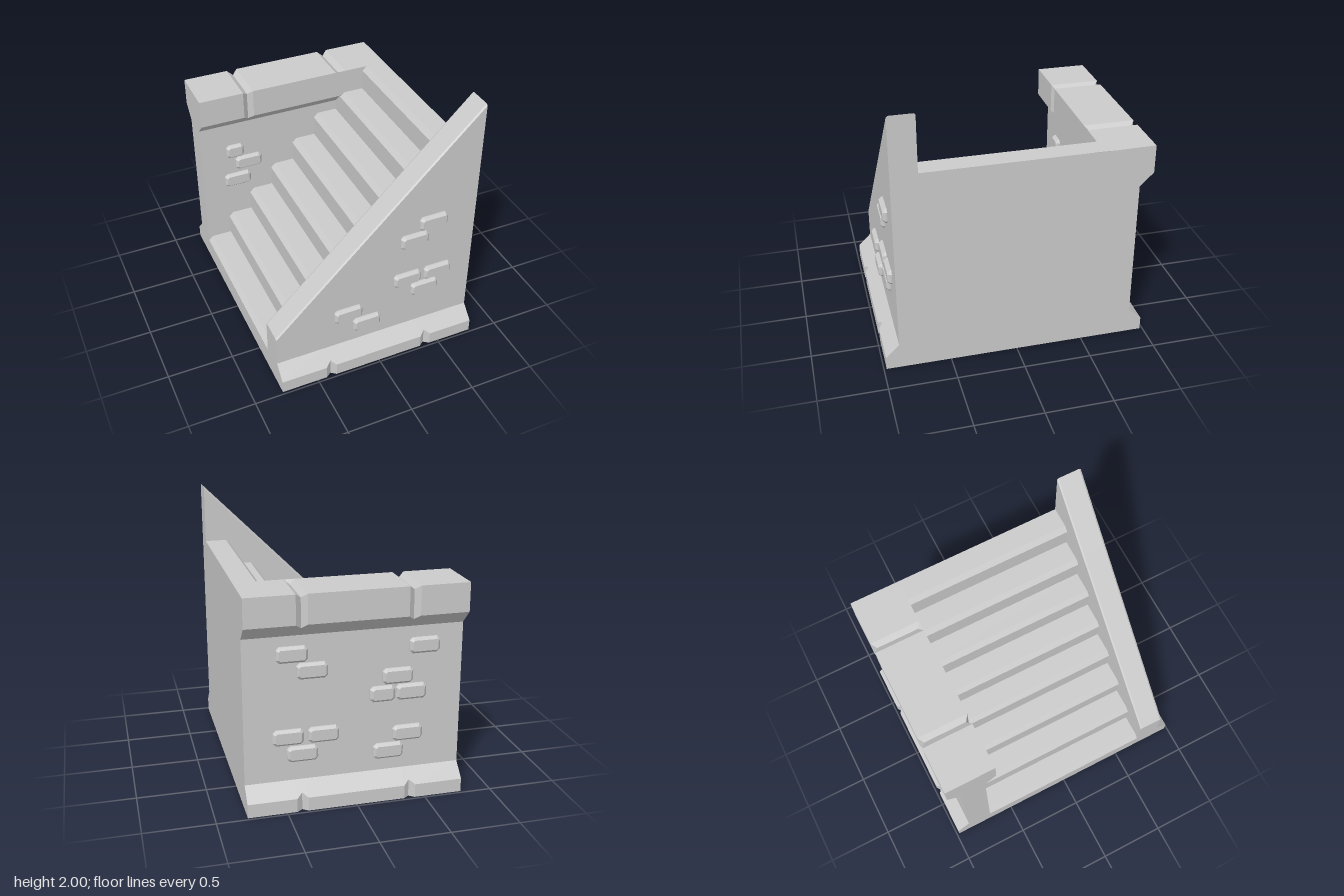
import * as THREE from 'three';

const X = 0.78, HALF = 0.69, STEPS = 8, RUN = 2 * X / STEPS, TOP = 1.57, RISE = TOP / STEPS;
const GROOVE_X = [-0.39, 0.39], GROOVE_W = 0.04, GROOVE_D = 0.03, LIP = 0.035;
const material = new THREE.MeshStandardMaterial({ color: 0xcccccc, flatShading: true, side: THREE.DoubleSide });

function addMesh(parent, name, geometry) {
  const mesh = new THREE.Mesh(geometry, material);
  mesh.name = name;
  parent.add(mesh);
  return mesh;
}

// Skin a list of equally long cross-sections (arrays of Vector3) with flat quads
function sheet(sections) {
  const pos = [], tri = new THREE.Triangle();
  const push = (a, b, c) => {
    if (tri.set(a, b, c).getArea() > 1e-7) for (const p of [a, b, c]) pos.push(p.x, p.y, p.z);
  };
  for (let i = 0; i + 1 < sections.length; i++) {
    const s = sections[i], t = sections[i + 1];
    for (let j = 0; j + 1 < s.length; j++) {
      push(s[j], t[j], t[j + 1]);
      push(s[j], t[j + 1], s[j + 1]);
    }
  }
  const g = new THREE.BufferGeometry();
  g.setAttribute('position', new THREE.Float32BufferAttribute(pos, 3));
  g.computeVertexNormals();
  return g;
}

// Stations along x; each groove has two rims and an inset centre line
function stations() {
  const list = [{ x: -X, d: 0 }];
  for (const c of GROOVE_X) list.push({ x: c - GROOVE_W, d: 0 }, { x: c, d: GROOVE_D }, { x: c + GROOVE_W, d: 0 });
  list.push({ x: X, d: 0 });
  return list;
}
const section = (x, zy) => zy.map(([z, y]) => new THREE.Vector3(x, y, z));

// Front wall: grooved plinth, plain face, sloping bevelled parapet
function frontProfile({ x, d }) {
  const top = x + 1.22;
  return [
    [0.98 - d, 0], [0.98 - d, 0.1 + d], [0.88, 0.2], [0.88, top - 0.012], [0.868, top],
    [HALF + 0.012, top], [HALF, top - 0.012], [HALF, x + X],
  ];
}

// Back wall: grooved plinth and an overhanging cap grooved over the top
function backProfile({ x, d }) {
  const e = x < 0 ? d : 0; // the groove cuts the inner lip on one side only
  return [
    [-0.98 + d, 0], [-0.98 + d, 0.1 + d], [-0.88, 0.2], [-0.88, 1.26], [-0.98 + d, 1.36 - d],
    [-0.98 + d, TOP - d], [-0.6 - d, TOP - d], [-0.6 - e, TOP - e], [-0.6 - e, 1.35 - e],
    [-HALF, 1.26], [-HALF, Math.min(x + X, 1.26)],
  ];
}

// Flat end face in the z-y plane; side is +1 or -1 along x
function endFace(zy, side) {
  const shape = new THREE.Shape(zy.map(([z, y]) => new THREE.Vector2(-side * z, y)));
  return new THREE.ShapeGeometry(shape).rotateY(side * Math.PI / 2).translate(side * X, 0, 0);
}

// Raised brick with clipped corners and a bevelled rim
function brickGeometry(w, h = 0.115, c = 0.022) {
  const a = w / 2, b = h / 2;
  const pts = [[-a + c, -b], [a - c, -b], [a, -b + c], [a, b - c], [a - c, b], [-a + c, b], [-a, b - c], [-a, -b + c]];
  return new THREE.ExtrudeGeometry(new THREE.Shape(pts.map(p => new THREE.Vector2(...p))), {
    depth: 0.012, bevelEnabled: true, bevelThickness: 0.02, bevelSize: 0.018, bevelOffset: -0.018, bevelSegments: 1,
  });
}

function bricks(name, z, facing, list) {
  const group = new THREE.Group();
  group.name = name;
  for (const [x, y, w = 0.22] of list) {
    const b = addMesh(group, 'brick', brickGeometry(w));
    b.position.set(x, y, z);
    if (facing < 0) b.rotation.y = Math.PI;
  }
  return group;
}

export function createModel() {
  const model = new THREE.Group();
  model.name = 'stoneStaircase';
  const line = stations();

  addMesh(model, 'frontWall', sheet(line.map(s => section(s.x, frontProfile(s)))));
  addMesh(model, 'backWall', sheet(line.slice().reverse().map(s => section(s.x, backProfile(s)))));

  // Steps with chamfered noses, hollow underneath
  const treads = [];
  for (let i = 0; i < STEPS; i++) {
    const x = -X + i * RUN, y = i * RISE;
    treads.push([x, y], [x, y + RISE - LIP], [x + LIP, y + RISE]);
  }
  treads.push([X, TOP]);
  addMesh(model, 'steps', sheet([-HALF, HALF].map(z => treads.map(([x, y]) => new THREE.Vector3(x, y, z)))));

  // End faces: low ends of both walls, and the full tall side
  const low = line[0], high = line[line.length - 1];
  addMesh(model, 'frontWallEnd', endFace(frontProfile(low), -1));
  addMesh(model, 'backWallEnd', endFace(backProfile(low).filter((p, i) => i !== 7), -1));
  addMesh(model, 'tallSide', endFace([
    ...frontProfile(high),
    ...backProfile(high).slice(0, 6).reverse(),
  ], 1));

  model.add(
    bricks('frontBricks', 0.88, 1, [
      [0.435, 1.13], [0.29, 1.005], [0.25, 0.655], [0.495, 0.655], [0.395, 0.53], [-0.22, 0.483], [-0.07, 0.35],
    ]),
    bricks('backBricks', -0.88, -1, [
      [0.44, 1.13], [0.3, 1.005], [0.47, 0.53], [0.22, 0.53], [0.37, 0.4],
      [-0.5, 1.12], [-0.31, 0.91], [-0.2, 0.785, 0.18], [-0.41, 0.785], [-0.39, 0.475], [-0.25, 0.35],
    ]),
    bricks('innerBricks', -HALF, 1, [[-0.5, 1.01, 0.145], [-0.39, 0.885], [-0.49, 0.735]]),
  );
  return model;
}
